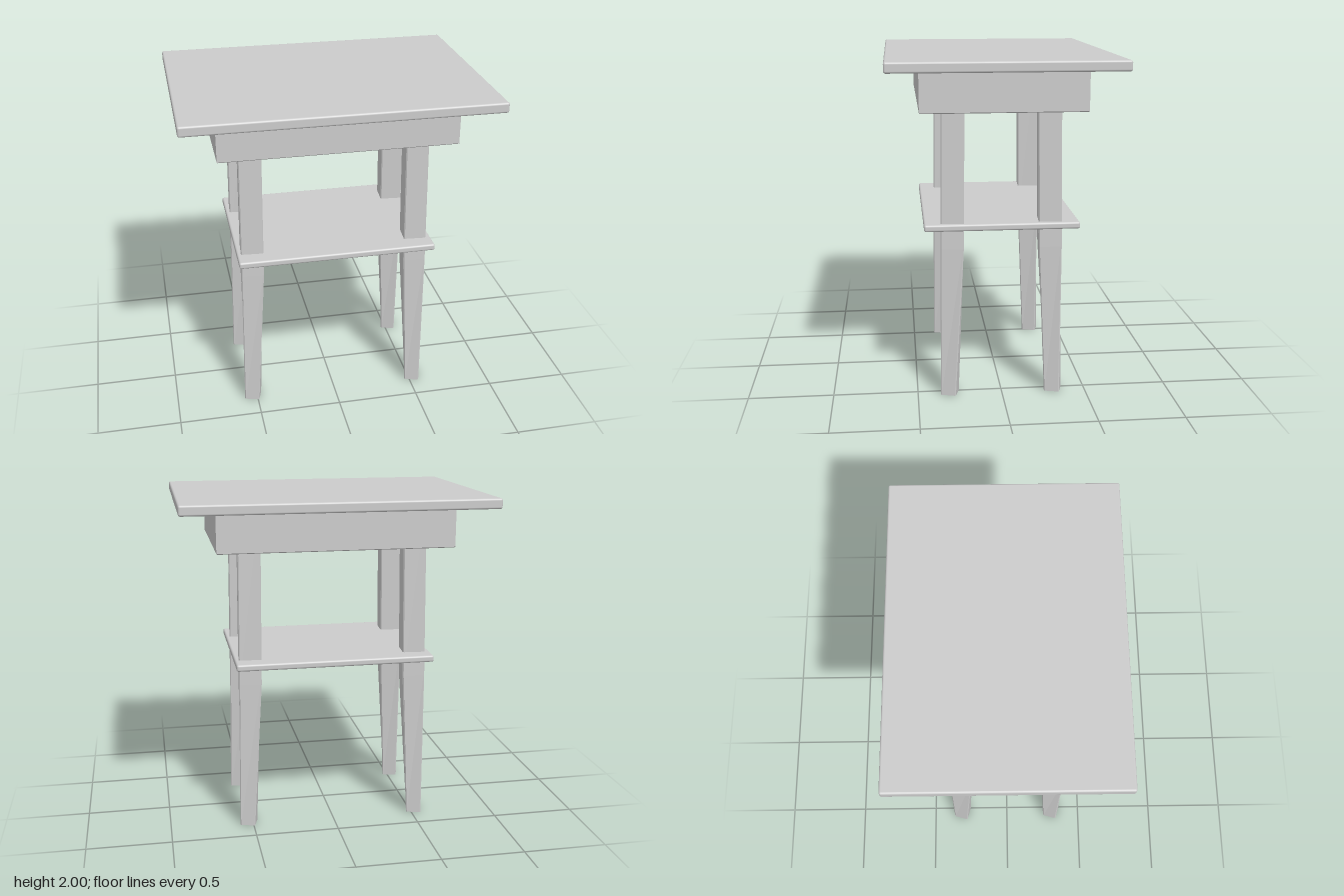
import * as THREE from 'three';
import { RoundedBoxGeometry } from 'three/addons/geometries/RoundedBoxGeometry.js';

const material = new THREE.MeshStandardMaterial({ color: 0xcccccc });
const flatMaterial = new THREE.MeshStandardMaterial({ color: 0xcccccc, flatShading: true });

function part(name, geometry, mat = material) {
  const mesh = new THREE.Mesh(geometry, mat);
  mesh.name = name;
  return mesh;
}

// Flat board with softly rounded edges, spanning y0 to y1
function board(name, width, depth, y0, y1) {
  const mesh = part(name, new RoundedBoxGeometry(width, y1 - y0, depth, 3, 0.012));
  mesh.position.y = (y0 + y1) / 2;
  return mesh;
}

// Hollow rectangular frame under the top, open below
function apronGeometry(width, depth, wall, y0, y1) {
  const bevel = 0.005;
  const rect = (Type, w, d) => new Type().moveTo(-w, -d).lineTo(w, -d).lineTo(w, d).lineTo(-w, d).closePath();
  const shape = rect(THREE.Shape, width / 2 - bevel, depth / 2 - bevel);
  shape.holes.push(rect(THREE.Path, width / 2 - wall + bevel, depth / 2 - wall + bevel));
  const geometry = new THREE.ExtrudeGeometry(shape, {
    depth: y1 - y0 - 2 * bevel, bevelEnabled: true, bevelSize: bevel, bevelThickness: bevel, bevelSegments: 1,
  });
  return geometry.rotateX(-Math.PI / 2).translate(0, y0 + bevel, 0);
}

// Leg cross-sections: height, centre offsets, side length, twist in degrees
const sections = [
  { y: 0, x: 0.525, z: 0.31, size: 0.092, twist: 16 },
  { y: 0.9, x: 0.498, z: 0.285, size: 0.134, twist: 4 },
  { y: 1.94, x: 0.488, z: 0.273, size: 0.134, twist: 4 },
];

// Splayed, tapered leg lofted through square sections with trimmed corners
function legGeometry(sx, sz) {
  const rings = sections.map(({ y, x, z, size, twist }) => {
    const h = size / 2, c = h - 0.006, ring = [];
    for (let k = 0; k < 4; k++) {
      const turn = k * Math.PI / 2 + THREE.MathUtils.degToRad(twist);
      const cos = Math.cos(turn), sin = Math.sin(turn);
      for (const [px, pz] of [[h, -c], [h, c]]) {
        ring.push([sx * x + px * cos - pz * sin, y, sz * z + px * sin + pz * cos]);
      }
    }
    return ring;
  });
  const positions = [];
  const tri = (a, b, c) => positions.push(...a, ...b, ...c);
  for (let r = 0; r < rings.length - 1; r++) {
    for (let i = 0; i < 8; i++) {
      const j = (i + 1) % 8;
      tri(rings[r][i], rings[r + 1][i], rings[r][j]);
      tri(rings[r][j], rings[r + 1][i], rings[r + 1][j]);
    }
  }
  const foot = rings[0], head = rings[rings.length - 1];
  for (let i = 1; i < 7; i++) {
    tri(foot[0], foot[i], foot[i + 1]);
    tri(head[0], head[i + 1], head[i]);
  }
  const geometry = new THREE.BufferGeometry();
  geometry.setAttribute('position', new THREE.Float32BufferAttribute(positions, 3));
  geometry.computeVertexNormals();
  return geometry;
}

export function createModel() {
  const table = new THREE.Group();
  table.name = 'sideTable';

  table.add(board('tableTop', 1.8, 1.31, 1.94, 2));
  table.add(part('apron', apronGeometry(1.38, 0.94, 0.085, 1.7, 1.94), flatMaterial));
  table.add(board('shelf', 1.18, 0.9, 1.01, 1.05));

  // Four legs
  for (const [end, sz] of [['front', 1], ['back', -1]]) {
    for (const [side, sx] of [['Left', 1], ['Right', -1]]) {
      table.add(part(`${end}${side}Leg`, legGeometry(sx, sz), flatMaterial));
    }
  }
  return table;
}
